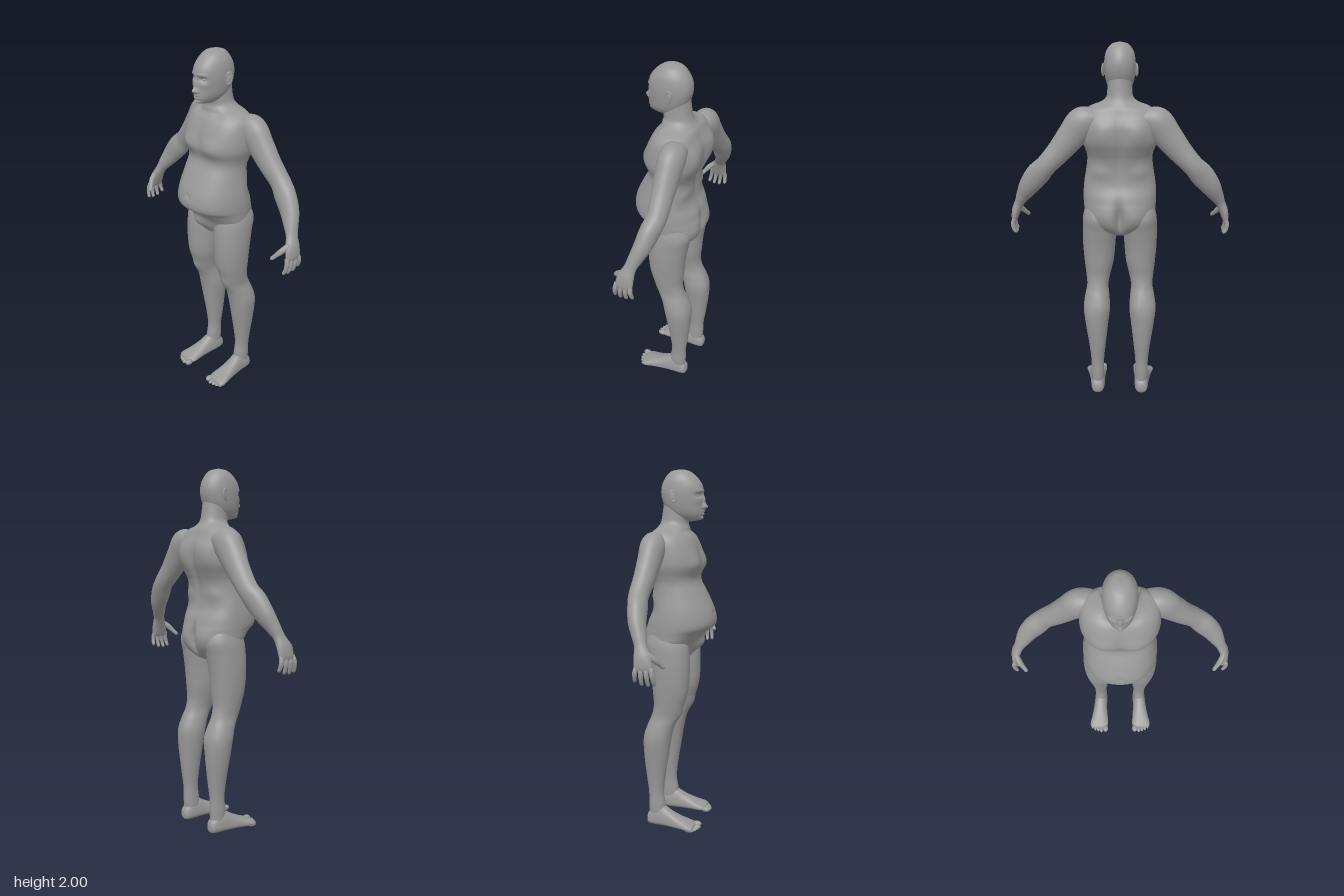
import * as THREE from 'three';

const skin = new THREE.MeshStandardMaterial({ color: 0x999999 });
skin.name = 'skin grey';

const X = new THREE.Vector3(1, 0, 0), Y = new THREE.Vector3(0, 1, 0), Z = new THREE.Vector3(0, 0, 1);

// Smooth skin through sections [x, y, z, a, bPlus, bMinus, exponent].
// a lies along u, b along v; without u and v the rings follow the path.
function loft(sections, { u, v, sub = 6, seg = 40 } = {}) {
  const at = i => sections[Math.min(Math.max(i, 0), sections.length - 1)];
  const rows = [];
  for (let i = 0; i < sections.length - 1; i++) {
    for (let k = 0; k < sub + (i === sections.length - 2 ? 1 : 0); k++) {
      const t = k / sub;
      rows.push([0, 1, 2, 3, 4, 5, 6].map(c => {
        const [p, q, r, s] = [at(i - 1), at(i), at(i + 1), at(i + 2)].map(w => w[c] ?? 2);
        return q + 0.5 * t * (r - p + t * (2 * p - 5 * q + 4 * r - s + t * (3 * (q - r) + s - p)));
      }));
    }
  }
  const pos = [], idx = [], last = rows.length - 1;
  const centre = r => new THREE.Vector3(r[0], r[1], r[2]);
  rows.forEach((r, i) => {
    let U = u, V = v;
    if (!U) {
      const t = centre(rows[Math.min(i + 1, last)]).sub(centre(rows[Math.max(i - 1, 0)])).normalize();
      V = Z.clone().addScaledVector(t, -t.z).normalize();
      U = V.clone().cross(t);
    }
    for (let j = 0; j < seg; j++) {
      const th = j / seg * Math.PI * 2, c = Math.cos(th), s = Math.sin(th), e = 2 / r[6];
      const p = centre(r)
        .addScaledVector(U, Math.max(r[3], 0.001) * Math.sign(c) * Math.abs(c) ** e)
        .addScaledVector(V, Math.max(s > 0 ? r[4] : r[5], 0.001) * Math.sign(s) * Math.abs(s) ** e);
      pos.push(p.x, p.y, p.z);
      if (i < last) {
        const a = i * seg + j, b = i * seg + (j + 1) % seg;
        idx.push(a, b, a + seg, b, b + seg, a + seg);
      }
    }
  });
  // End caps
  const n = rows.length * seg;
  pos.push(...rows[0].slice(0, 3), ...rows[last].slice(0, 3));
  for (let j = 0; j < seg; j++) {
    const k = (j + 1) % seg;
    idx.push(n, k, j, n + 1, last * seg + j, last * seg + k);
  }
  const g = new THREE.BufferGeometry();
  g.setAttribute('position', new THREE.Float32BufferAttribute(pos, 3));
  g.setIndex(idx);
  g.computeVertexNormals();
  return g;
}

// Soft symmetric pushes along z: [x, y, z, rx, ry, rz, amount]
function sculpt(g, bumps) {
  const p = g.attributes.position;
  for (let i = 0; i < p.count; i++) {
    const x = Math.abs(p.getX(i)), y = p.getY(i), z = p.getZ(i);
    let d = 0;
    for (const [bx, by, bz, rx, ry, rz, m] of bumps)
      d += m * Math.exp(-(((x - bx) / rx) ** 2) - ((y - by) / ry) ** 2 - ((z - bz) / rz) ** 2);
    p.setZ(i, z + d);
  }
  g.computeVertexNormals();
  return g;
}

function mirrored(g) {
  const m = g.clone().scale(-1, 1, 1), a = m.index.array;
  for (let i = 0; i < a.length; i += 3) [a[i], a[i + 1]] = [a[i + 1], a[i]];
  m.computeVertexNormals();
  return m;
}

const ball = (x, y, z, rx, ry, rz) => new THREE.SphereGeometry(1, 20, 14).scale(rx, ry, rz).translate(x, y, z);

export function createModel() {
  const model = new THREE.Group();
  model.name = 'figure';
  const add = (name, g) => {
    const m = new THREE.Mesh(g, skin);
    m.name = name;
    model.add(m);
  };
  const pair = (name, g) => {
    add('left' + name, g);
    add('right' + name, mirrored(g));
  };

  // Neck, chest, belly and hips
  const torso = loft([
    [0, 1.84, -.03, .062, .06, .065, 2], [0, 1.76, -.035, .066, .083, .07, 2],
    [0, 1.72, -.04, .073, .08, .075, 2], [0, 1.695, -.05, .105, .095, .08, 2],
    [0, 1.675, -.065, .16, .115, .08, 2.2], [0, 1.64, -.07, .193, .145, .09, 2.4],
    [0, 1.58, -.06, .203, .16, .125, 2.5], [0, 1.5, -.05, .203, .165, .135, 2.5],
    [0, 1.44, -.04, .183, .14, .125, 2.4], [0, 1.4, -.03, .176, .137, .12, 2.3],
    [0, 1.34, -.02, .182, .162, .12, 2.2], [0, 1.26, -.02, .195, .2, .125, 2.2],
    [0, 1.2, -.02, .2, .215, .15, 2.2], [0, 1.16, -.02, .2, .205, .16, 2.2],
    [0, 1.13, -.025, .198, .165, .16, 2.2], [0, 1.08, -.03, .192, .125, .155, 2.2],
    [0, 1.03, -.04, .165, .115, .135, 2.1], [0, .985, -.04, .09, .09, .1, 2],
    [0, .96, -.035, .03, .04, .05, 2],
  ], { u: X, v: Z, seg: 96, sub: 6 });
  add('torso', sculpt(torso, [
    [.09, 1.51, .1, .06, .05, .09, .014],    // chest muscles
    [0, 1.54, .12, .018, .07, .09, -.008],   // breastbone
    [.07, 1.675, .03, .03, .02, .05, -.012], // collar hollows
    [0, 1.235, .19, .01, .01, .05, -.012],   // navel
    [0, 1.065, .1, .04, .045, .09, .045],    // groin
    [0, 1.47, -.18, .02, .15, .07, .016],    // spine
    [.1, 1.55, -.18, .05, .07, .07, -.012],  // shoulder blades
    [.12, 1.33, -.13, .06, .035, .06, -.012], // waist roll
    [.09, 1.09, -.18, .06, .06, .07, -.014], // buttocks
    [0, 1.08, -.19, .018, .08, .08, .045],   // cleft
  ]));

  // Head with modelled face
  const head = loft([
    [0, 2, 0, .006, .008, .01, 2], [0, 1.988, 0, .045, .05, .058, 2],
    [0, 1.955, 0, .071, .09, .088, 2], [0, 1.915, 0, .081, .116, .106, 2.1],
    [0, 1.87, 0, .083, .121, .109, 2.2], [0, 1.82, 0, .078, .121, .096, 2.2],
    [0, 1.78, .01, .068, .112, .082, 2.2], [0, 1.755, .02, .054, .1, .075, 2.1],
    [0, 1.738, .03, .036, .077, .06, 2], [0, 1.728, .03, .012, .03, .03, 2],
  ], { u: X, v: Z, seg: 120, sub: 12 });
  add('head', sculpt(head, [
    [.034, 1.865, .11, .02, .013, .05, -.015],  // eye sockets
    [.03, 1.888, .115, .028, .008, .05, .005],  // brows
    [0, 1.84, .12, .01, .028, .05, .013],       // nose bridge
    [0, 1.806, .12, .012, .015, .05, .024],     // nose tip
    [.015, 1.803, .12, .007, .008, .05, .007],  // nostrils
    [0, 1.782, .12, .02, .005, .05, .007],      // upper lip
    [0, 1.768, .12, .018, .005, .05, .007],     // lower lip
    [0, 1.758, .12, .02, .004, .05, -.004],     // chin crease
    [0, 1.743, .11, .02, .01, .05, .008],       // chin
    [.05, 1.835, .09, .018, .02, .05, .004],    // cheeks
  ]));
  pair('Eye', ball(.034, 1.865, .092, .013, .009, .0125));

  // Ears
  const placeEar = g => g.rotateY(1.2).rotateX(-.12).translate(.087, 1.86, -.022);
  pair('EarRim', placeEar(new THREE.TorusGeometry(.016, .0045, 10, 28).scale(1, 1.75, 1)));
  pair('EarBowl', placeEar(new THREE.SphereGeometry(1, 18, 12).scale(.016, .028, .005)));

  // Arm down to the palm
  pair('Arm', loft([
    [.12, 1.62, -.09, .045, .055, .06], [.19, 1.6, -.095, .082, .066, .07],
    [.25, 1.53, -.1, .077, .062, .062], [.32, 1.445, -.105, .065, .056, .056],
    [.39, 1.37, -.11, .057, .05, .053], [.44, 1.315, -.1, .064, .051, .05],
    [.49, 1.25, -.085, .055, .046, .045], [.53, 1.185, -.06, .038, .037, .036],
    [.552, 1.145, -.045, .027, .033, .033], [.572, 1.1, -.032, .025, .043, .044],
    [.583, 1.06, -.024, .02, .047, .049], [.587, 1.035, -.022, .014, .044, .046],
    [.588, 1.025, -.022, .006, .03, .03],
  ]));

  // Fingers and thumb
  [[.019, .033, .96], [-.008, .002, .954], [-.035, -.032, .957], [-.06, -.069, .972]].forEach(([z0, z1, end], i) => {
    const at = (x, t, r) => [x, 1.05 + (end - 1.05) * t, z0 + (z1 - z0) * t, r, r, r];
    pair('Finger' + (i + 1), loft([
      at(.585, 0, .011), at(.593, .35, .0125), at(.589, .7, .0105),
      at(.58, .93, .009), at(.576, 1, .002),
    ], { seg: 14, sub: 4 }));
  });
  pair('Thumb', loft([
    [.572, 1.115, -.01, .014, .014, .014], [.555, 1.085, .025, .016, .016, .016],
    [.535, 1.058, .047, .012, .012, .012], [.521, 1.04, .062, .01, .01, .01],
    [.517, 1.034, .067, .002, .002, .002],
  ], { seg: 16, sub: 4 }));

  // Legs: [x, y, half width, front z, back z]
  const legs = [
    [.115, 1.17, .06, .02, -.12], [.113, 1.08, .088, .065, -.165], [.113, 1, .094, .077, -.152],
    [.116, .9, .091, .078, -.136], [.117, .8, .083, .07, -.128], [.122, .72, .069, .045, -.122],
    [.125, .66, .061, .024, -.135], [.128, .6, .069, -.004, -.16], [.13, .53, .075, -.022, -.18],
    [.13, .43, .064, -.038, -.179], [.128, .3, .047, -.058, -.167], [.128, .2, .037, -.068, -.155],
    [.128, .12, .037, -.058, -.155], [.128, .05, .034, -.06, -.15],
  ].map(([x, y, a, f, b]) => [x, y, (f + b) / 2, a, (f - b) / 2, (f - b) / 2, 2.1]);
  pair('Leg', sculpt(loft(legs, { u: X, v: Z, seg: 48 }), [
    [.123, .685, .03, .035, .035, .05, .008], // kneecap
    [.095, .56, -.17, .025, .07, .05, -.006], // calf
  ]));

  // Feet
  pair('Foot', loft([
    [.128, .035, -.166, .012, .014, .014], [.128, .035, -.155, .031, .04, .031],
    [.128, .035, -.12, .039, .075, .034], [.13, .035, -.07, .042, .085, .034],
    [.134, .03, -.02, .045, .062, .029], [.138, .025, .04, .053, .038, .024],
    [.142, .02, .085, .06, .025, .019], [.144, .018, .11, .055, .016, .016],
    [.145, .016, .12, .04, .008, .01],
  ].map(s => [...s, 2.3]), { u: X, v: Y }));
  [[.1, .123, .018], [.127, .126, .0125], [.149, .12, .0115], [.169, .111, .011], [.187, .099, .0105]]
    .forEach(([x, z, r], i) => pair('Toe' + (i + 1), ball(x, r * .95, z, r, r * .95, .026)));

  return model;
}
